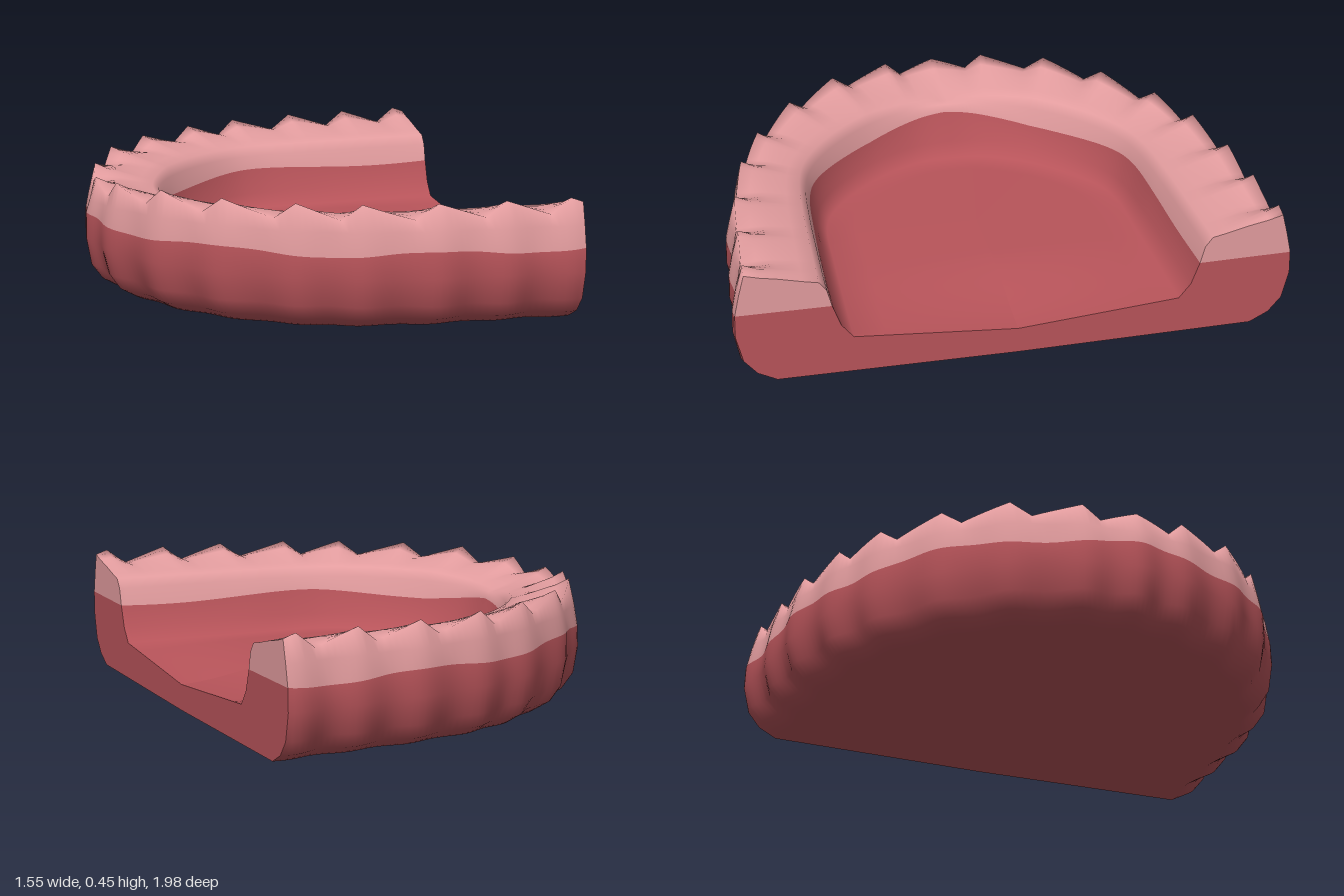
import * as THREE from 'three';

const END = 0.775;      // flat cut at the open end
const TEETH = 8.2;      // cusps per side, counted from the middle of the arch
const STEP = 0.1;

// Half outlines [x, z], one point per cusp, mirrored into a full arch
const OUTER = [[-0.775, 0], [-0.738, 0.2], [-0.625, 0.44], [-0.45, 0.64], [-0.22, 0.8],
  [0, 0.895], [0.26, 0.955], [0.5, 0.975], [0.73, 0.992], [0.98, 1.0]];
const INNER = [[-0.485, 0], [-0.465, 0.15], [-0.38, 0.32], [-0.25, 0.47], [-0.1, 0.58],
  [0.05, 0.63], [0.27, 0.65], [0.5, 0.66], [0.73, 0.668], [0.98, 0.67]];

function arch(half) {
  const pts = half.map(([x, z]) => new THREE.Vector3(x, 0, z));
  const mirrored = pts.slice(1).reverse().map(p => new THREE.Vector3(p.x, 0, -p.z));
  const curve = new THREE.CatmullRomCurve3([...mirrored, ...pts], false, 'catmullrom', 0.5);
  return u => curve.getPoint((u + 9) / 18);
}
const outerAt = arch(OUTER), innerAt = arch(INNER);

// First and last profile index of the pink band
const PINK_FROM = 6, PINK_TO = 14;

// One cross-section, from the middle of the underside round to the middle of the floor
function section(u) {
  const k = Math.abs(u), f = k % 1;
  const cusp = f < 0.7 ? 1 - f / 0.7 : (f - 0.7) / 0.3;
  const dip = (1 - Math.cos(2 * Math.PI * k)) / 2;
  const front = 1 - Math.min(k / 2, 1);
  const top = 0.4 - 0.03 * front;
  const o = outerAt(u), i = innerAt(u);
  const last = k > TEETH - 0.001;
  const at = (w, y) => {
    const p = o.clone().lerp(i, w);
    p.y = y;
    p.x = last ? END : Math.min(p.x, END);
    return p;
  };
  const axis = y => new THREE.Vector3(last ? END : Math.min(END, Math.max(o.x, 0.1)), y, 0);
  const rise = THREE.MathUtils.smoothstep(END - axis(0).x, 0, 0.45);
  const floorMid = axis(0.1 + 0.055 * rise);
  const floorEdge = at(1.27, 0.147);
  const bottomEdge = at(0.42 + 0.06 * dip, 0.01);
  return [
    axis(0.003),
    axis(0.003).lerp(bottomEdge, 0.6),
    bottomEdge,
    at(0.2 + 0.1 * dip, 0.045),
    at(0.06 + 0.1 * dip, 0.1),
    at(0.06 * dip, 0.2),
    at(0.01 + 0.05 * dip, 0.285 + 0.01 * Math.cos(u * 2.1)),
    at(0.06 + 0.05 * dip, 0.36 - 0.02 * front),
    at(0.14, top + 0.055 * cusp),
    at(0.3, top + 0.005 + 0.028 * cusp),
    at(0.5, top + 0.005 + 0.01 * cusp),
    at(0.75, top - 0.008),
    at(0.92, top - 0.02),
    at(1.0, 0.345),
    at(1.05, 0.285 + 0.025 * front + 0.01 * Math.cos(u * 1.3)),
    at(1.14, 0.2),
    floorEdge,
    floorEdge.clone().lerp(floorMid, 0.2),
    floorEdge.clone().lerp(floorMid, 0.6),
    floorMid,
  ];
}

export function createModel() {
  const gumRed = new THREE.MeshStandardMaterial({ color: 0xb8545a });
  gumRed.name = 'gumRed';
  const ridgePink = new THREE.MeshStandardMaterial({ color: 0xe29c9e });
  ridgePink.name = 'ridgePink';
  const model = new THREE.Group();
  model.name = 'dentalArch';

  // Loft the sections along the arch
  const rings = [];
  const count = Math.round(2 * TEETH / STEP);
  for (let n = 0; n <= count; n++) rings.push(section(-TEETH + n * STEP));
  const size = rings[0].length;
  const red = [], pink = [];
  for (let n = 0; n < count; n++) {
    for (let p = 0; p < size - 1; p++) {
      const a = n * size + p, b = a + size;
      const list = p >= PINK_FROM && p < PINK_TO ? pink : red;
      list.push(a, b, a + 1, b, b + 1, a + 1);
    }
  }
  const geometry = new THREE.BufferGeometry().setFromPoints(rings.flat());
  geometry.setIndex([...red, ...pink]);
  geometry.addGroup(0, red.length, 0);
  geometry.addGroup(red.length, pink.length, 1);
  geometry.computeVertexNormals();
  const body = new THREE.Mesh(geometry, [gumRed, ridgePink]);
  body.name = 'gumAndRidge';
  model.add(body);

  // Flat caps on the open end, one red and one pink for each arm
  const addCap = (points, material, name) => {
    const shape = new THREE.Shape(points.map(p => new THREE.Vector2(-p.z, p.y)));
    const cap = new THREE.Mesh(new THREE.ShapeGeometry(shape).rotateY(Math.PI / 2), material);
    cap.position.x = END;
    cap.name = name;
    model.add(cap);
  };
  [[rings[0], 'right'], [rings[count], 'left']].forEach(([ring, side]) => {
    addCap([...ring.slice(0, PINK_FROM + 1), ...ring.slice(PINK_TO)], gumRed, side + 'GumEnd');
    addCap(ring.slice(PINK_FROM, PINK_TO + 1), ridgePink, side + 'RidgeEnd');
  });
  return model;
}
